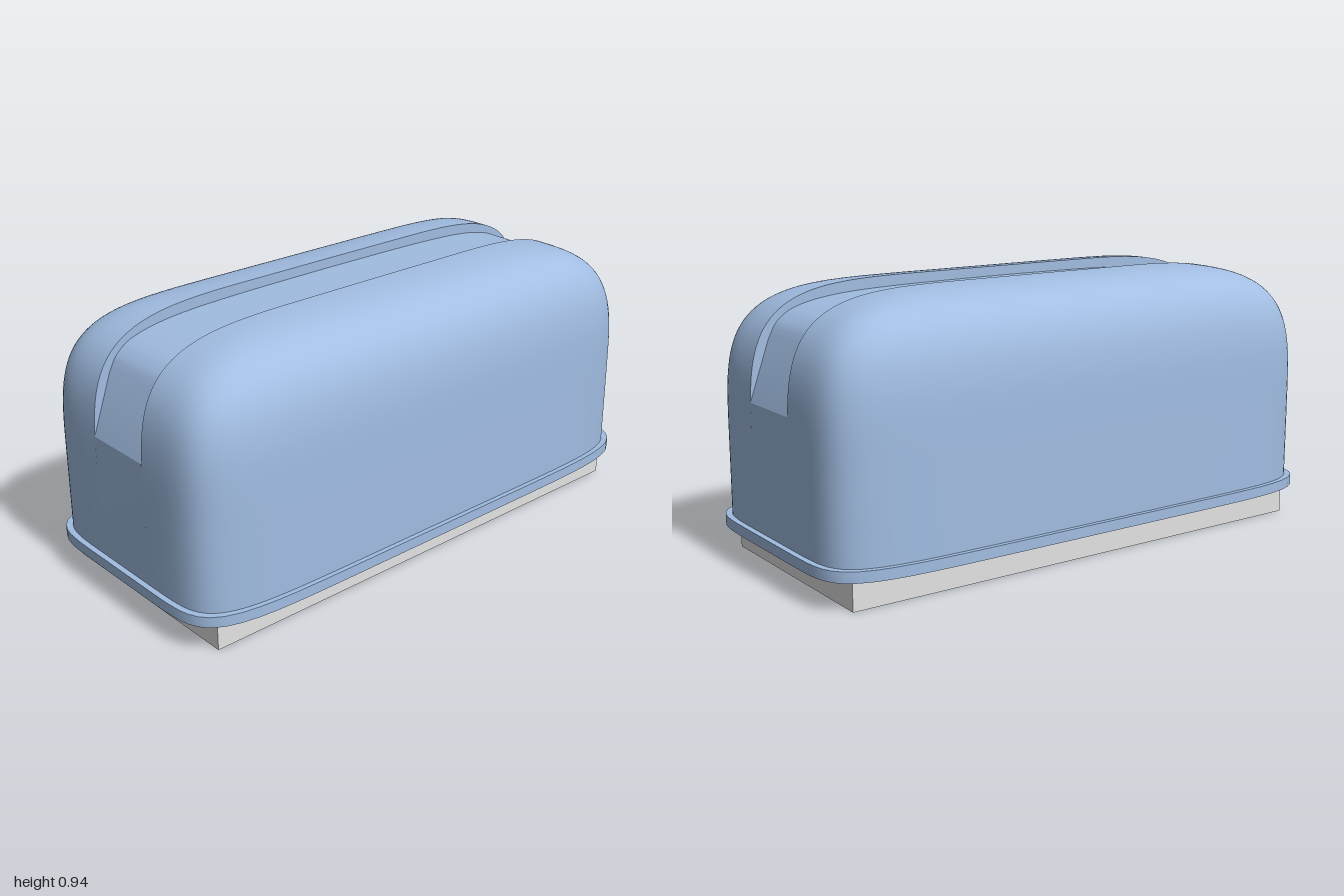
import * as THREE from 'three';
import { toCreasedNormals } from 'three/addons/utils/BufferGeometryUtils.js';
import { ParametricGeometry } from 'three/addons/geometries/ParametricGeometry.js';

const PLAN = 7.5, END = 6, SIDE = 4;          // superellipse exponents: plan, x profile, z profile
const HX = 0.98, HZ = 0.458;                  // half sizes of the cover
const RIM = 0.14, SHOULDER = 0.4, TOP = 0.94; // heights
const GROOVE = 0.13;                          // half width of the top groove
const Q = GROOVE / HZ;

// Point on a unit superellipse in the direction of an angle
function superPoint(angle, n) {
  const c = Math.cos(angle), s = Math.sin(angle);
  const r = Math.pow(Math.abs(c) ** n + Math.abs(s) ** n, -1 / n);
  return [c * r, s * r];
}

// Half sizes and height of the cover at v: straight skirt, then dome
const V0 = 0.08;
const MAX_ANGLE = Math.atan2(Math.pow(1 - Q ** SIDE, 1 / SIDE), Q);
function level(v) {
  if (v < V0) return [HX, HZ, RIM + (SHOULDER - RIM) * v / V0];
  const [s, t] = superPoint(MAX_ANGLE * (v - V0) / (1 - V0), SIDE);
  return [HX * Math.pow(s, SIDE / END), HZ * s, SHOULDER + (TOP - SHOULDER) * t];
}
// Share of the half length at which a ring meets the groove plane
const edgeX = (hz) => Math.pow(Math.max(0, 1 - (GROOVE / hz) ** PLAN), 1 / PLAN);

// Half of the cover, from the groove outwards to +z
function coverPoint(u, v, target) {
  const [hx, hz, y] = level(v);
  const start = Math.atan2(GROOVE / hz, edgeX(hz));
  const [x, z] = superPoint(Math.PI - start - u * (Math.PI - 2 * start), PLAN);
  target.set(x * hx, y, z * hz);
}

export function createModel() {
  const blue = new THREE.MeshStandardMaterial({ color: 0xa1bde2 });
  blue.name = 'soft blue';
  const grey = new THREE.MeshStandardMaterial({ color: 0xe3e3e3 });
  grey.name = 'light grey';

  const model = new THREE.Group();
  const add = (name, geometry, material, parent = model) => {
    const mesh = new THREE.Mesh(geometry, material);
    mesh.name = name;
    parent.add(mesh);
    return mesh;
  };

  // Base block
  add('base', new THREE.BoxGeometry(1.826, 0.105, 0.79), grey).position.y = 0.0525;

  // Flange around the foot of the cover
  const outline = [];
  for (let i = 0; i < 128; i++) {
    const [x, z] = superPoint(i / 128 * Math.PI * 2, PLAN);
    outline.push(new THREE.Vector2(x, z * 0.475));
  }
  const flange = new THREE.ExtrudeGeometry(new THREE.Shape(outline), { depth: 0.037, bevelEnabled: false });
  flange.rotateX(-Math.PI / 2);
  add('flange', toCreasedNormals(flange, 0.6), blue).position.y = 0.103;

  // Two cover halves, each with a flat wall towards the groove
  const shell = new ParametricGeometry(coverPoint, 96, 48);
  shell.computeVertexNormals();
  const edge = [];
  for (let i = 0; i <= 48; i++) {
    const [hx, hz, y] = level(i / 48);
    edge.push(new THREE.Vector2(edgeX(hz) * hx, y));
  }
  const mirrored = edge.slice(0, -1).reverse().map((p) => new THREE.Vector2(-p.x, p.y));
  const wall = new THREE.ShapeGeometry(new THREE.Shape([...edge, ...mirrored]));
  wall.rotateY(Math.PI);
  wall.translate(0, 0, GROOVE);
  for (const [name, turn] of [['frontCover', 0], ['backCover', Math.PI]]) {
    const half = new THREE.Group();
    half.name = name;
    half.rotation.y = turn;
    add('coverShell', shell, blue, half);
    add('grooveWall', wall, blue, half);
    model.add(half);
  }

  // Groove floor, with sloping ends that run out into the end faces
  const bend = new THREE.SplineCurve([
    [0.908, 0.765], [0.873, 0.822], [0.8, 0.864], [0.65, 0.891], [0.4, 0.902], [0, 0.905],
  ].map(([x, y]) => new THREE.Vector2(x, y))).getPoints(40);
  const side = [
    new THREE.Vector2(HX, RIM), new THREE.Vector2(HX, 0.45), new THREE.Vector2(0.979, 0.565), ...bend,
  ];
  const otherSide = side.slice(0, -1).reverse().map((p) => new THREE.Vector2(-p.x, p.y));
  const floor = new THREE.ExtrudeGeometry(new THREE.Shape([...side, ...otherSide]),
    { depth: GROOVE * 2, bevelEnabled: false });
  floor.translate(0, 0, -GROOVE);
  add('grooveFloor', toCreasedNormals(floor, 0.3), blue);

  return model;
}
